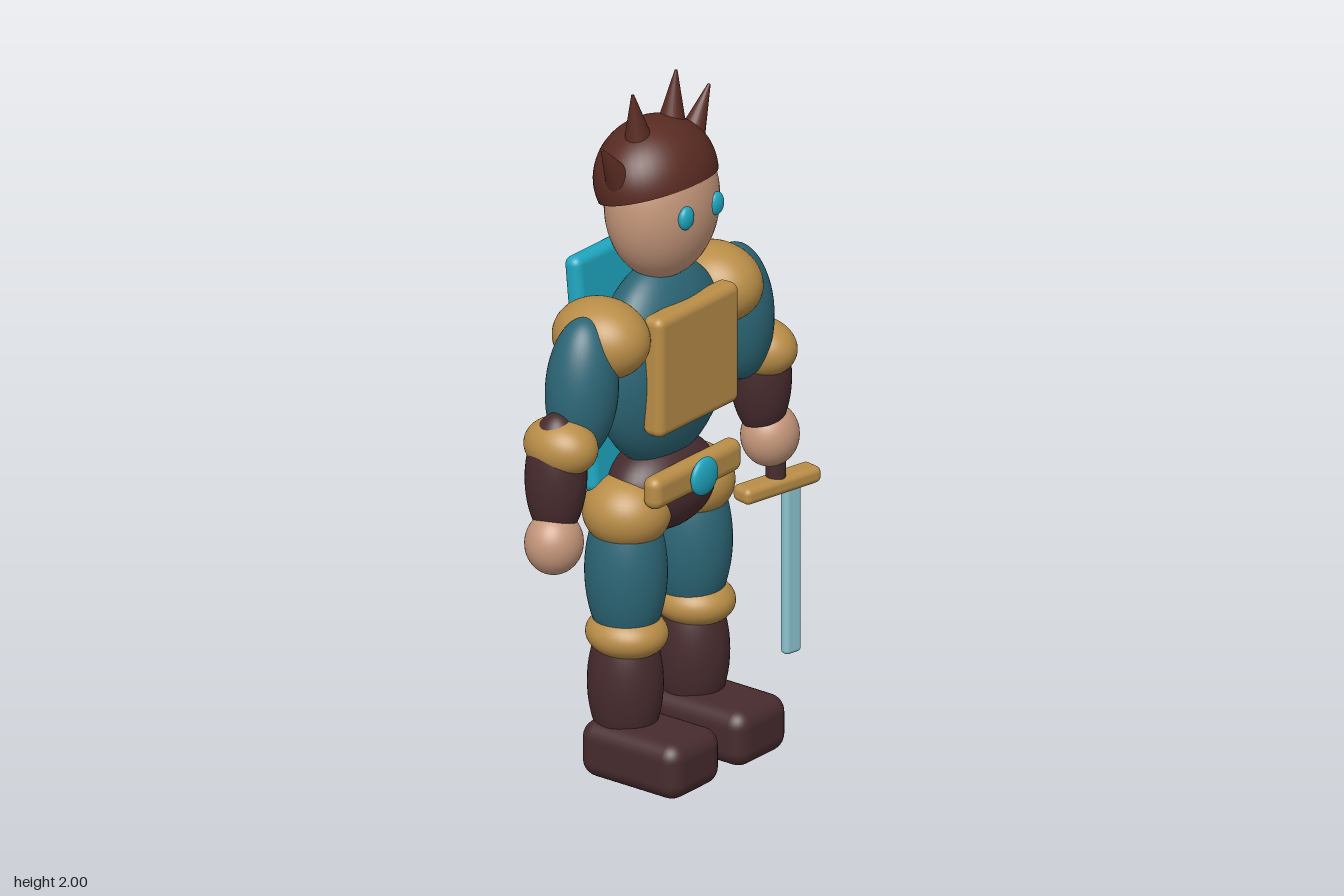
import * as THREE from 'three';
import { RoundedBoxGeometry } from 'three/addons/geometries/RoundedBoxGeometry.js';

const paint = (name, color) => {
  const m = new THREE.MeshStandardMaterial({ color });
  m.name = name;
  return m;
};

export function createModel() {
  const cloth = paint('tealCloth', 0x2c6676);
  const bright = paint('brightTeal', 0x1ea6c0);
  const gold = paint('gold', 0xb98d47);
  const leather = paint('darkLeather', 0x472b2e);
  const hairMat = paint('hairBrown', 0x592b22);
  const skin = paint('skin', 0xc4967a);
  const steel = paint('paleSteel', 0x8cc3d0);

  const model = new THREE.Group();
  model.name = 'warrior';
  // The figure stands slightly right of centre to leave room for the sword
  const body = new THREE.Group();
  body.name = 'figure';
  body.position.x = -0.045;
  model.add(body);

  const add = (name, geo, mat, pos, parent = body) => {
    const m = new THREE.Mesh(geo, mat);
    m.name = name;
    m.position.set(...pos);
    parent.add(m);
    return m;
  };
  const ball = (name, mat, pos, radii, parent) => {
    const m = add(name, new THREE.SphereGeometry(1, 40, 28), mat, pos, parent);
    m.scale.set(...radii);
    return m;
  };
  const box = (name, mat, pos, size, r, parent) =>
    add(name, new RoundedBoxGeometry(...size, 4, r), mat, pos, parent);

  // Trunk
  ball('torso', cloth, [0, 1.18, -0.035], [0.245, 0.3, 0.135]);
  ball('pelvis', leather, [0, 0.82, -0.035], [0.19, 0.135, 0.13]);
  box('chestPlate', gold, [0, 1.207, 0.07], [0.355, 0.355, 0.07], 0.025);
  box('belt', gold, [0, 0.867, 0.075], [0.385, 0.095, 0.06], 0.028);
  ball('buckle', bright, [0, 0.87, 0.117], [0.055, 0.055, 0.02]);
  box('backShield', bright, [0, 1.167, -0.153], [0.425, 0.685, 0.055], 0.025).rotation.x = -0.095;

  // Head and hair cap
  ball('head', skin, [0, 1.65, -0.03], [0.177, 0.22, 0.147]);
  const hair = add('hair', new THREE.SphereGeometry(1, 40, 24, 0, Math.PI * 2, 0, Math.PI * 0.56),
    hairMat, [0, 1.722, -0.052]);
  hair.scale.set(0.192, 0.165, 0.157);
  hair.rotation.x = -0.3;
  const rim = add('hairUnderside', new THREE.CircleGeometry(1, 40), hairMat, [0, 0, 0], hair);
  rim.rotation.x = Math.PI / 2;
  rim.scale.setScalar(Math.sin(Math.PI * 0.56));
  rim.position.y = Math.cos(Math.PI * 0.56);

  // Hair spikes: tip and base of each cone
  const spikes = [
    [-0.235, 1.872, -0.155, 1.755], [-0.1, 1.99, -0.073, 1.84],
    [0.091, 2.0, 0.07, 1.84], [0.237, 1.91, 0.15, 1.77],
  ];
  for (const [tx, ty, bx, by] of spikes) {
    const dir = new THREE.Vector3(tx - bx, ty - by, 0);
    const cone = add('hairSpike', new THREE.CylinderGeometry(0.004, 0.042, dir.length(), 20),
      hairMat, [(tx + bx) / 2, (ty + by) / 2, -0.053]);
    cone.quaternion.setFromUnitVectors(new THREE.Vector3(0, 1, 0), dir.normalize());
  }

  // Paired parts
  for (const [side, s] of [['left', 1], ['right', -1]]) {
    ball(side + 'Eye', bright, [s * 0.066, 1.655, 0.106], [0.028, 0.034, 0.017]);

    const arm = new THREE.Group();
    arm.name = side + 'Arm';
    body.add(arm);
    ball('shoulderPad', gold, [s * 0.248, 1.322, -0.045], [0.118, 0.113, 0.145], arm);
    ball('upperArm', cloth, [s * 0.342, 1.205, -0.038], [0.103, 0.205, 0.1], arm).rotation.z = s * 0.08;
    ball('elbowPad', gold, [s * 0.438, 1.068, -0.035], [0.087, 0.082, 0.111], arm);
    ball('forearm', leather, [s * 0.45, 0.98, -0.043], [0.082, 0.185, 0.088], arm).rotation.z = s * 0.03;
    ball('hand', skin, [s * 0.475, 0.795, -0.03], [0.084, 0.09, 0.08], arm);

    const leg = new THREE.Group();
    leg.name = side + 'Leg';
    body.add(leg);
    ball('hipPad', gold, [s * 0.14, 0.775, -0.042], [0.12, 0.105, 0.125], leg);
    ball('thigh', cloth, [s * 0.143, 0.6, -0.042], [0.11, 0.24, 0.117], leg);
    ball('kneePad', gold, [s * 0.148, 0.418, -0.035], [0.108, 0.07, 0.118], leg);
    ball('shin', leather, [s * 0.146, 0.27, -0.042], [0.1, 0.215, 0.108], leg);
    box('boot', leather, [s * 0.146, 0.083, 0.045], [0.222, 0.165, 0.345], 0.05, leg);
  }

  // Sword hanging from the left hand
  const sword = new THREE.Group();
  sword.name = 'sword';
  model.add(sword);
  add('swordGrip', new THREE.CylinderGeometry(0.028, 0.028, 0.18, 24), leather, [0.462, 0.71, -0.035], sword);
  box('swordGuard', gold, [0.465, 0.636, -0.033], [0.27, 0.048, 0.07], 0.018, sword).rotation.y = -0.2;
  box('swordBlade', steel, [0.515, 0.37, -0.025], [0.056, 0.5, 0.032], 0.012, sword).rotation.y = -0.2;

  return model;
}
